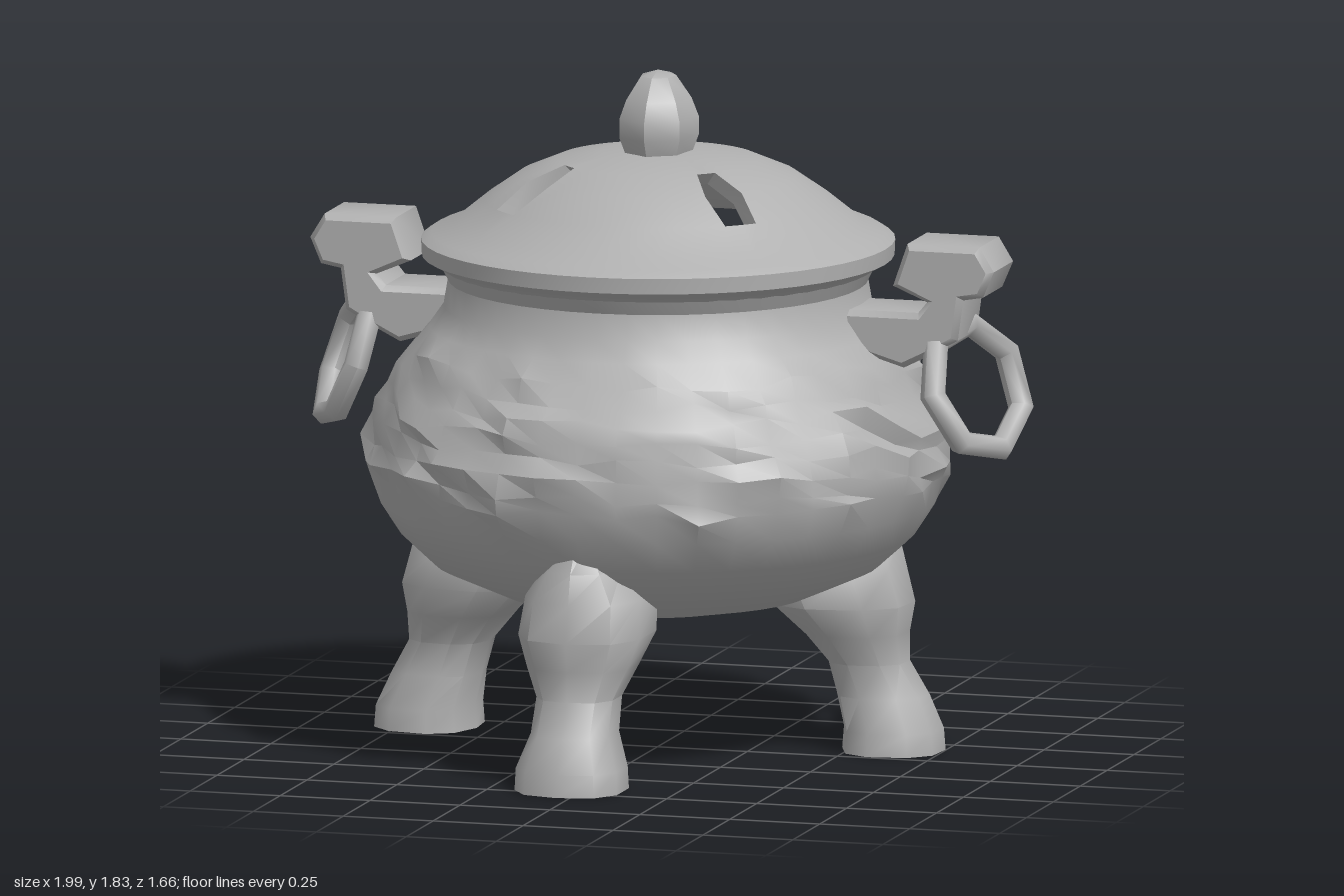
import * as THREE from 'three';
import { toCreasedNormals } from 'three/addons/utils/BufferGeometryUtils.js';

const metal = new THREE.MeshStandardMaterial({ color: 0xb0b0b0 });
metal.name = 'grey metal';

const V = (x, y, z) => new THREE.Vector3(x, y, z);
const points2 = (list) => list.map(([x, y]) => new THREE.Vector2(x, y));

function mesh(name, geometry, crease = 0.8) {
  const m = new THREE.Mesh(toCreasedNormals(geometry, crease), metal);
  m.name = name;
  return m;
}

// Skins closed rings of points, listed from bottom to top
function loft(rings, { skip = () => false, flip = false } = {}) {
  const n = rings[0].length;
  const index = [];
  for (let k = 0; k < rings.length - 1; k++) {
    for (let j = 0; j < n; j++) {
      if (skip(k, j)) continue;
      const a = k * n + j, b = k * n + (j + 1) % n, c = a + n, d = b + n;
      if (flip) index.push(a, d, b, a, c, d);
      else index.push(a, b, d, a, d, c);
    }
  }
  const g = new THREE.BufferGeometry().setFromPoints(rings.flat());
  g.setIndex(index);
  return g;
}

// Repeatable noise from a position, 0..1
function hash(x, y, z) {
  const s = Math.sin(Math.round(x * 200) * 12.99 + Math.round(y * 200) * 78.23 + Math.round(z * 200) * 37.72) * 43758.5453;
  return s - Math.floor(s);
}

// Round bowl with a rough carved band around its shoulder
function makeBowl() {
  const profile = points2([
    [0, 0.375], [0.22, 0.38], [0.42, 0.42], [0.6, 0.5], [0.69, 0.585], [0.745, 0.67],
    [0.768, 0.74], [0.772, 0.79], [0.77, 0.84], [0.755, 0.89], [0.738, 0.94], [0.715, 0.985],
    [0.69, 1.03], [0.655, 1.08], [0.61, 1.135], [0.572, 1.19], [0.56, 1.26], [0.58, 1.3],
  ]);
  const g = new THREE.LatheGeometry(profile, 44);
  const p = g.attributes.position;
  for (let i = 0; i < p.count; i++) {
    const x = p.getX(i), y = p.getY(i), z = p.getZ(i);
    if (y < 0.72 || y > 1.1) continue;
    const s = 0.99 + 0.05 * hash(x, y, z) ** 2;
    p.setXYZ(i, x * s, y + (hash(z, x, y) - 0.5) * 0.03, z * s);
  }
  return mesh('bowl', g, 0.6);
}

// Domed lid with four slots cut through its shell
function makeLid() {
  const lid = new THREE.Group();
  lid.name = 'lid';
  // radius, height, half angle of the slot
  const rows = [
    [0.575, 1.295, 0.13], [0.6, 1.312, 0.13], [0.63, 1.328, 0.13], [0.632, 1.37, 0.13],
    [0.605, 1.388, 0.13], [0.545, 1.412, 0.13], [0.465, 1.477, 0.1], [0.37, 1.543, 0.15],
    [0.27, 1.585, 0.1], [0.15, 1.605, 0.13], [0, 1.612, 0.13],
  ];
  const ring = ([r, y, w], inset) => {
    const rr = Math.max(0, r - inset);
    return Array.from({ length: 48 }, (_, c) => {
      const t = ((c % 12) - 6) / 6, u = Math.abs(t);
      const s = u < 0.17 ? t * 6 * w : Math.sign(t) * (w + (u - 1 / 6) * 1.2 * (Math.PI / 4 - w));
      const a = Math.floor(c / 12) * Math.PI / 2 + Math.PI / 4 + s;
      return V(rr * Math.sin(a), y - inset, rr * Math.cos(a));
    });
  };
  const outer = rows.map((row) => ring(row, 0));
  const inner = rows.map((row) => ring(row, 0.035));
  const slot = (k, j) => (k === 6 || k === 7) && (j % 12 === 5 || j % 12 === 6);
  lid.add(mesh('lidShell', loft(outer, { skip: slot })));
  lid.add(mesh('lidInside', loft(inner.slice(4), { skip: (k, j) => slot(k + 4, j), flip: true })));
  // Walls of the slots
  const border = [[6, 5], [6, 6], [6, 7], [7, 7], [8, 7], [8, 6], [8, 5], [7, 5]];
  for (let q = 0; q < 4; q++) {
    const pick = (shell) => border.map(([k, j]) => shell[k][q * 12 + j]);
    lid.add(mesh('slotWall', loft([pick(outer), pick(inner)])));
  }
  // Faceted knob, deeper than wide
  const knob = new THREE.LatheGeometry(points2(
    [[0.085, 1.59], [0.107, 1.65], [0.107, 1.7], [0.088, 1.75], [0.048, 1.81], [0, 1.825]]), 7);
  knob.scale(1, 1, 1.22);
  lid.add(mesh('knob', knob, 0.7));
  return lid;
}

// Leg with a bulging knee, a narrow ankle and a squarish foot, pointing along +z
function makeLeg() {
  // height, distance out, half depth, half width
  const rows = [
    [0, 0.68, 0, 0], [0, 0.68, 0.145, 0.148], [0.06, 0.68, 0.14, 0.145], [0.15, 0.65, 0.13, 0.112],
    [0.24, 0.61, 0.115, 0.11], [0.32, 0.575, 0.15, 0.145], [0.4, 0.535, 0.205, 0.175],
    [0.5, 0.495, 0.22, 0.165], [0.58, 0.49, 0.205, 0.11], [0.66, 0.46, 0.18, 0.04],
  ];
  const bulge = (t) => Math.sign(t) * Math.abs(t) ** 0.8;
  return loft(rows.map(([y, out, d, w]) => Array.from({ length: 10 }, (_, i) => {
    const a = i / 10 * Math.PI * 2;
    return V(w * bulge(Math.sin(a)), y, out + d * bulge(Math.cos(a)));
  })));
}

// Bracket with a blocky head and a loose faceted ring, on the +x side
function makeHandle() {
  const handle = new THREE.Group();
  handle.name = 'handle';
  const outline = points2([
    [0.53, 1.12], [0.7, 1.07], [0.78, 1.11], [0.85, 1.15], [0.865, 1.26], [0.92, 1.27],
    [0.95, 1.34], [0.91, 1.405], [0.71, 1.405], [0.67, 1.29], [0.765, 1.25], [0.74, 1.22], [0.53, 1.22],
  ]);
  const block = new THREE.ExtrudeGeometry(new THREE.Shape(outline), {
    depth: 0.18, bevelEnabled: true, bevelThickness: 0.02, bevelSize: 0.015, bevelOffset: -0.015, bevelSegments: 1,
  });
  block.translate(0, 0, -0.09);
  handle.add(mesh('bracket', block));
  // Ring hangs outward and is turned to the back
  const ring = new THREE.TorusGeometry(0.176, 0.035, 6, 7);
  const u = V(-0.4, 0, 0.92).normalize();
  const v = V(0.3, -0.95, 0.13).normalize();
  ring.applyMatrix4(new THREE.Matrix4().makeBasis(u, v, u.clone().cross(v)));
  ring.translate(0.872, 1.01, 0);
  handle.add(mesh('ring', ring, 1.1));
  return handle;
}

export function createModel() {
  const model = new THREE.Group();
  model.name = 'incenseBurner';

  const vessel = new THREE.Group();
  vessel.name = 'vessel';
  vessel.add(makeBowl(), makeLid());
  vessel.position.set(-0.01, 0, -0.04);
  model.add(vessel);

  // One leg in front, two at the sides
  const legs = [['frontLeg', 0, 0], ['leftLeg', 1.72, -0.06], ['rightLeg', -1.72, -0.06]];
  for (const [name, turn, z] of legs) {
    const leg = mesh(name, makeLeg());
    leg.rotation.y = turn;
    leg.position.set(-0.035, 0, z);
    if (turn) leg.scale.z = 0.96;
    model.add(leg);
  }

  for (const side of [1, -1]) {
    const handle = makeHandle();
    handle.name = side > 0 ? 'leftHandle' : 'rightHandle';
    handle.position.z = -0.04;
    handle.scale.x = side;
    model.add(handle);
  }
  return model;
}
